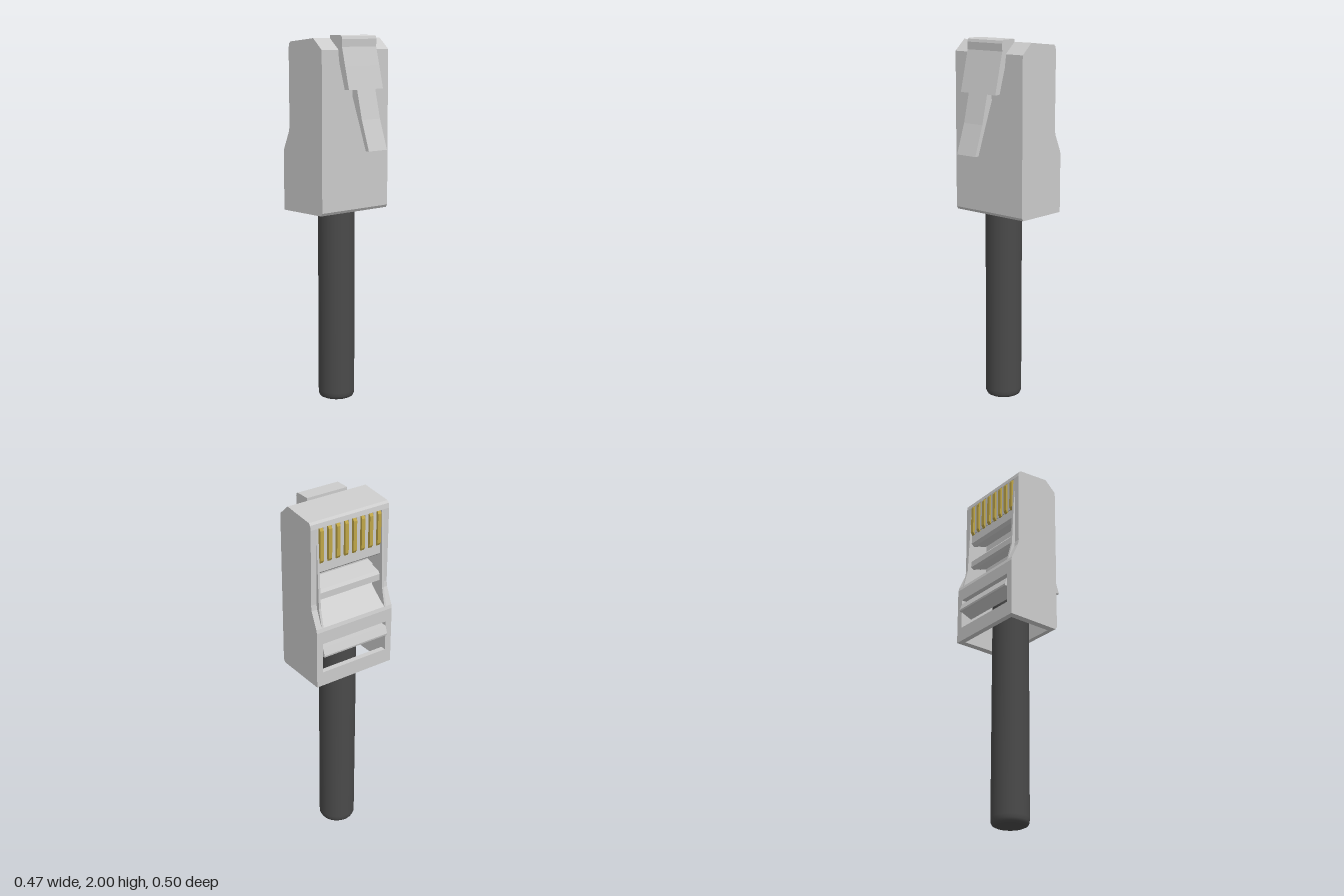
import * as THREE from 'three';

const plastic = new THREE.MeshStandardMaterial({ color: 0xcccccc });
const gold = new THREE.MeshStandardMaterial({ color: 0xbfa648 });
const rubber = new THREE.MeshStandardMaterial({ color: 0x4a4a4a });

export function createModel() {
  const model = new THREE.Group();
  model.name = 'cableConnector';

  // Extrudes a side profile of [z, y] points across x, from x0 to x1
  function slab(name, points, x0, x1, material = plastic) {
    const shape = new THREE.Shape(points.map(([z, y]) => new THREE.Vector2(-z, y)));
    const geometry = new THREE.ExtrudeGeometry(shape, { depth: x1 - x0, bevelEnabled: false });
    geometry.rotateY(Math.PI / 2).translate(x0, 0, 0);
    const mesh = new THREE.Mesh(geometry, material);
    mesh.name = name;
    model.add(mesh);
    return mesh;
  }

  const W = 0.237; // half width of the housing
  const I = 0.2;   // half width between the side walls

  // Housing side walls, with a slanted rim inside each
  const sideProfile = [
    [0.07, 1.06], [0.08, 1.075], [0.08, 1.925], [0.012, 1.985], [-0.05, 1.978], [-0.172, 1.966],
    [-0.183, 1.955], [-0.187, 1.93], [-0.185, 1.52], [-0.19, 1.49], [-0.23, 1.4], [-0.235, 1.38], [-0.235, 1.06],
  ];
  const rimProfile = [[-0.12, 1.93], [-0.186, 1.93], [-0.206, 1.5], [-0.232, 1.39], [-0.12, 1.39]];
  for (const s of [-1, 1]) {
    const span = (a, b) => [s * a, s * b].sort((p, q) => p - q);
    slab('sideWall', sideProfile, ...span(I, W));
    slab('windowRim', rimProfile, ...span(I - 0.008, I + 0.004));
  }

  // Front wall, closed core and top block holding the contacts
  slab('frontWall', [[0.07, 1.06], [0.08, 1.075], [0.08, 1.5], [0.045, 1.5], [0.045, 1.06]], -I, I);
  slab('core', [
    [0.08, 1.5], [0.08, 1.925], [0.012, 1.985], [-0.05, 1.978], [-0.172, 1.966], [-0.183, 1.955],
    [-0.187, 1.93], [-0.165, 1.925], [-0.165, 1.75], [-0.07, 1.74], [-0.07, 1.46], [0.045, 1.46], [0.045, 1.5],
  ], -I, I);

  // Cross bars inside the rear window
  slab('upperCrossBar', [[-0.06, 1.76], [-0.18, 1.745], [-0.182, 1.69], [-0.165, 1.675], [-0.06, 1.72]], -I, I);
  slab('lowerCrossBar', [[-0.06, 1.61], [-0.17, 1.585], [-0.182, 1.57], [-0.182, 1.535], [-0.165, 1.525], [-0.06, 1.57]], -I, I);
  slab('strainWedge', [[-0.07, 1.5], [-0.1, 1.5], [-0.19, 1.425], [-0.23, 1.4], [-0.235, 1.38], [-0.235, 1.31], [-0.205, 1.31], [-0.205, 1.37], [-0.07, 1.46]], -I, I);

  // Contacts with plastic ribs between them
  const pitch = 0.05;
  for (let i = 0; i < 8; i++) {
    const x = (i - 3.5) * pitch;
    slab('contact', [[-0.15, 1.93], [-0.185, 1.93], [-0.194, 1.915], [-0.194, 1.755], [-0.185, 1.74], [-0.15, 1.74]], x - 0.01, x + 0.01, gold);
  }
  for (let i = 0; i < 9; i++) {
    const x = (i - 4) * pitch;
    const half = i % 8 === 0 ? 0.008 : 0.01;
    slab('contactRib', [[-0.15, 1.93], [-0.186, 1.93], [-0.186, 1.745], [-0.15, 1.745]], x - half, x + half);
  }

  // Rear lower panel and the bar across its slot
  slab('rearLowerPanel', [[-0.205, 1.06], [-0.205, 1.14], [-0.235, 1.14], [-0.235, 1.06]], -I, I);
  slab('slotBar', [[-0.17, 1.285], [-0.235, 1.285], [-0.25, 1.245], [-0.248, 1.235], [-0.235, 1.235], [-0.17, 1.21]], -I, I);

  // Spring latch: wide head hanging from the top, narrow stem below
  slab('latchHead', [
    [0.012, 1.985], [0.012, 2], [0.095, 2], [0.104, 1.995], [0.109, 1.98], [0.107, 1.94],
    [0.132, 1.84], [0.161, 1.72], [0.128, 1.72], [0.087, 1.857], [0.078, 1.92],
  ], -0.122, 0.122);
  slab('latchStem', [
    [0.161, 1.72], [0.155, 1.745], [0.138, 1.745], [0.128, 1.72], [0.124, 1.687], [0.172, 1.56],
    [0.228, 1.405], [0.252, 1.405], [0.198, 1.565],
  ], -0.065, 0.065);

  // Cable with a rounded lower end
  const outline = [[0, 0], [0.08, 0], [0.08, 0], [0.092, 0.006], [0.099, 0.02], [0.1, 0.04], [0.1, 1.25], [0.1, 1.25], [0, 1.25]];
  const cable = new THREE.Mesh(
    new THREE.LatheGeometry(outline.map(([r, y]) => new THREE.Vector2(r, y)), 32), rubber);
  cable.name = 'cable';
  cable.position.set(-0.015, 0, -0.06);
  model.add(cable);

  return model;
}
